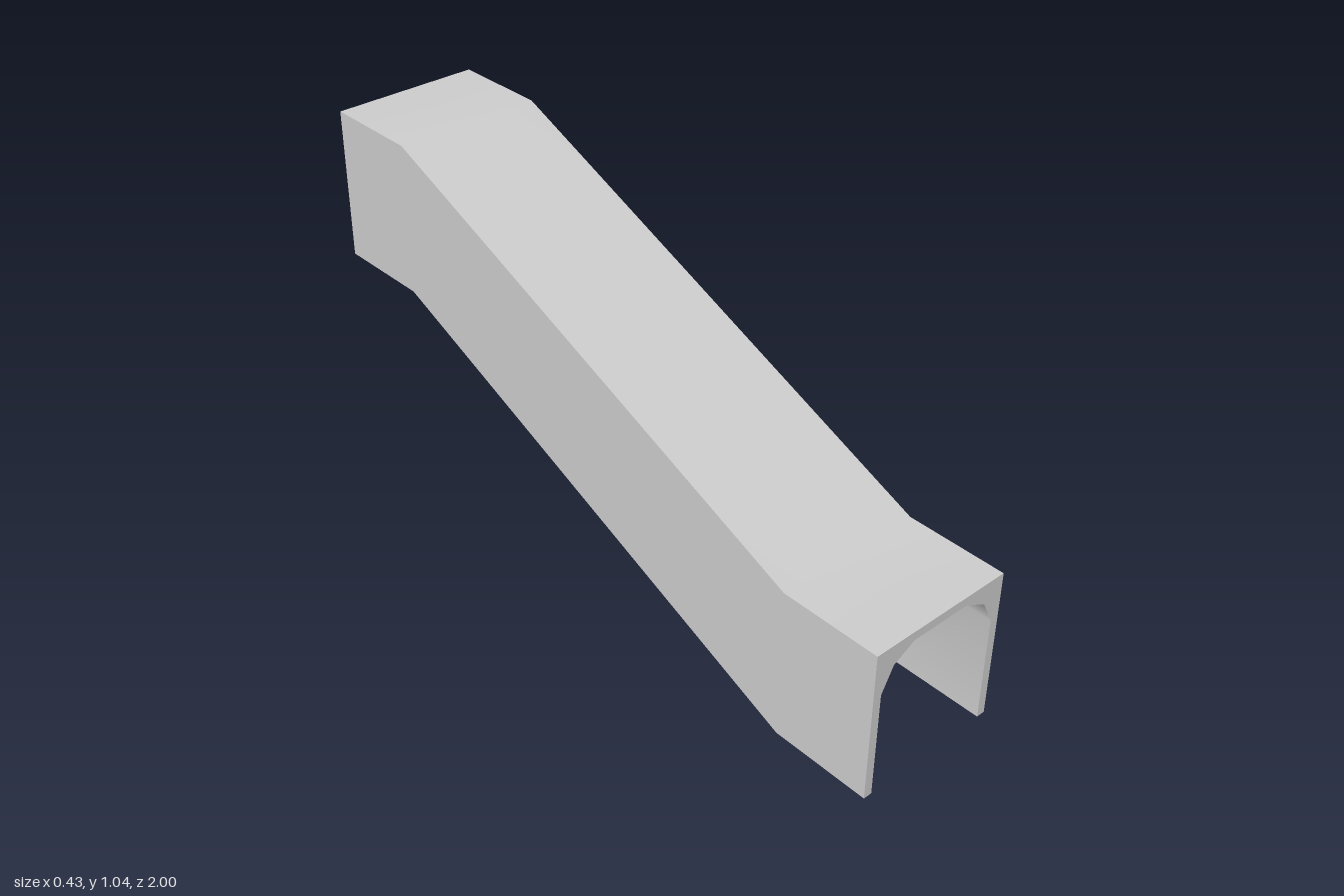
import * as THREE from 'three';
import { toCreasedNormals } from 'three/addons/utils/BufferGeometryUtils.js';

// Stations along the passage: z position and floor height
const STATIONS = [[-1, 0.605], [-0.715, 0.605], [0.715, 0], [1, 0]];
const HALF_WIDTH = 0.215;
const HEIGHT = 0.435;

// Square outside, chamfered arch inside, open at the bottom
function archSection() {
  const arch = [[0.19, 0], [0.19, 0.306], [0.155, 0.375], [0.09, 0.41]];
  const mirrored = arch.map(([x, y]) => [-x, y]).reverse();
  const outer = [[-HALF_WIDTH, 0], [-HALF_WIDTH, HEIGHT], [HALF_WIDTH, HEIGHT], [HALF_WIDTH, 0]];
  const points = [...outer, ...arch, ...mirrored];
  return new THREE.Shape(points.map(([x, y]) => new THREE.Vector2(x, y)));
}

export function createModel() {
  const group = new THREE.Group();
  group.name = 'slopedPassage';

  // Extrude in unit steps, then move each ring to its station
  const steps = STATIONS.length - 1;
  const geometry = new THREE.ExtrudeGeometry(archSection(), { depth: steps, steps, bevelEnabled: false });
  const pos = geometry.attributes.position;
  for (let i = 0; i < pos.count; i++) {
    const [z, floor] = STATIONS[Math.round(pos.getZ(i))];
    pos.setY(i, pos.getY(i) + floor);
    pos.setZ(i, z);
  }

  // Smooth over the bends and arch, sharp at the outer corners
  const passage = new THREE.Mesh(
    toCreasedNormals(geometry, 0.75),
    new THREE.MeshStandardMaterial({ color: 0xcccccc })
  );
  passage.name = 'archedPassage';
  group.add(passage);
  return group;
}
